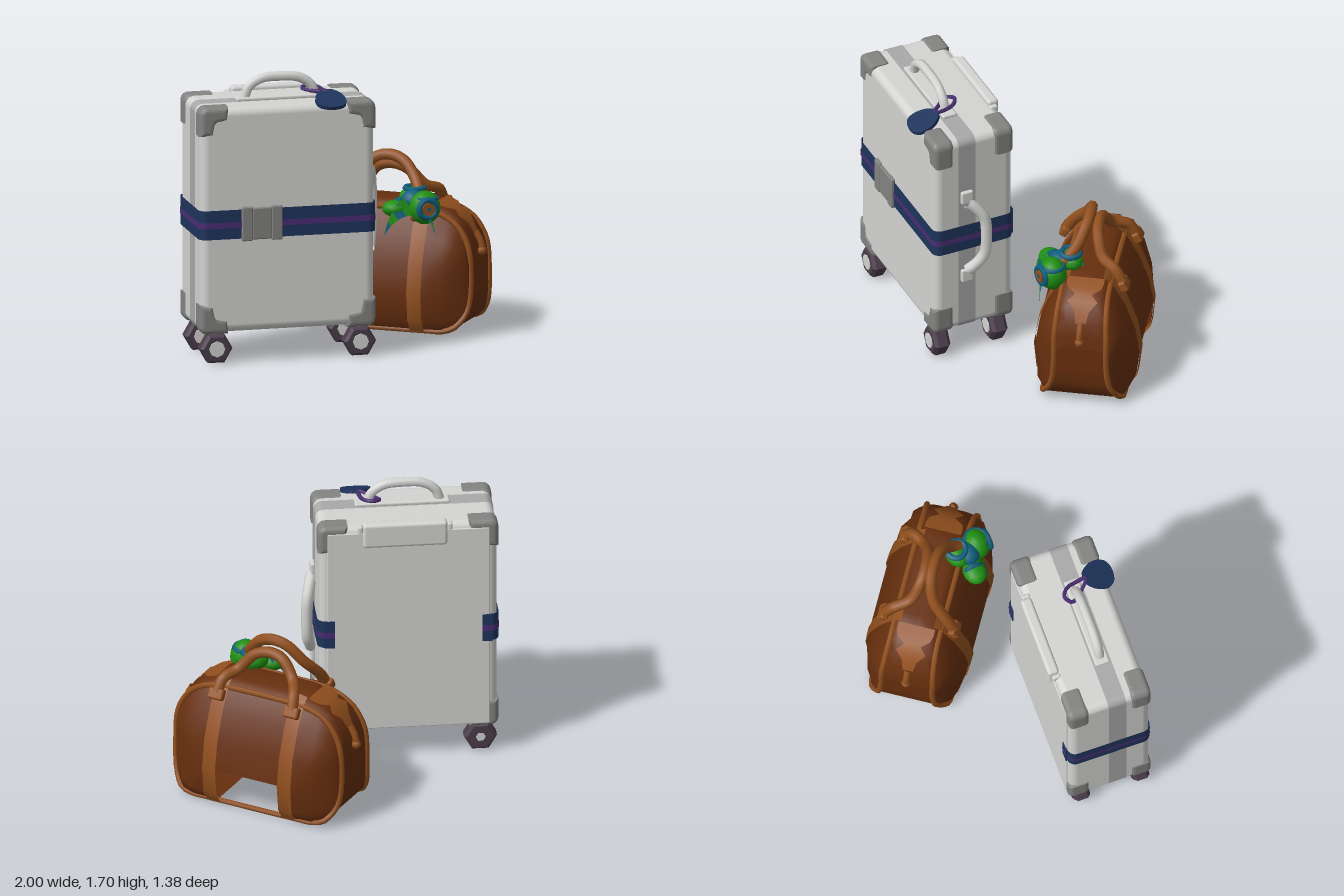
import * as THREE from 'three';
import { RoundedBoxGeometry } from 'three/addons/geometries/RoundedBoxGeometry.js';

const mat = (name, color, side = THREE.FrontSide) => {
  const m = new THREE.MeshStandardMaterial({ color, side });
  m.name = name;
  return m;
};
const D = THREE.DoubleSide;
const M = {
  shell: mat('lightGrey', 0xd4d4d2, D), band: mat('midGrey', 0xa9a9a9, D), guard: mat('darkGrey', 0x838381),
  wheel: mat('wheelPlum', 0x4b3d4b), navy: mat('navy', 0x1f345c, D), purple: mat('purple', 0x4a2d74, D),
  leather: mat('leatherBrown', 0x672f0e, D), trim: mat('trimTan', 0x92501e, D),
  green: mat('scarfGreen', 0x1f8f12, D), teal: mat('scarfTeal', 0x10607e, D),
};

function add(parent, name, geo, material, x = 0, y = 0, z = 0) {
  const m = new THREE.Mesh(geo, material);
  m.name = name;
  m.position.set(x, y, z);
  parent.add(m);
  return m;
}
const V = (p) => new THREE.Vector3(...p);
const tube = (pts, r, closed = false, sides = 8, seg = 40) =>
  new THREE.TubeGeometry(new THREE.CatmullRomCurve3(pts.map(V), closed), seg, r, sides, closed);
const rbox = (w, h, d, r = 0.02) => new RoundedBoxGeometry(w, h, d, 3, r);

// Drops the triangles whose centre passes the test
function without(geo, test) {
  const g = geo.index ? geo.toNonIndexed() : geo, p = g.attributes.position, keep = [];
  for (let i = 0; i < p.count; i += 3) {
    const c = new THREE.Vector3();
    for (let k = 0; k < 3; k++) c.add(new THREE.Vector3().fromBufferAttribute(p, i + k));
    if (!test(c.divideScalar(3))) keep.push(i, i + 1, i + 2);
  }
  g.clearGroups();
  g.setIndex(keep);
  return g;
}

// Open sleeve: a rounded rectangle wall of the given depth along z
function sleeve(w, h, depth, r) {
  const s = new THREE.Shape(), a = w / 2, b = h / 2;
  s.moveTo(-a + r, -b).lineTo(a - r, -b).absarc(a - r, -b + r, r, -Math.PI / 2, 0);
  s.absarc(a - r, b - r, r, 0, Math.PI / 2).absarc(-a + r, b - r, r, Math.PI / 2, Math.PI);
  s.absarc(-a + r, -b + r, r, Math.PI, Math.PI * 1.5);
  const g = new THREE.ExtrudeGeometry(s, { depth, bevelEnabled: false, curveSegments: 6 }).translate(0, 0, -depth / 2);
  return without(g, (c) => Math.abs(c.z) > depth * 0.45);
}

// Grid surface from a point rule; skip(i, j) leaves a hole
function grid(nu, nv, point, skip = () => false) {
  const pos = [], idx = [];
  for (let i = 0; i <= nu; i++) for (let j = 0; j <= nv; j++) pos.push(...point(i, j));
  for (let i = 0; i < nu; i++) for (let j = 0; j < nv; j++) {
    if (skip(i, j)) continue;
    const a = i * (nv + 1) + j, b = a + nv + 1;
    idx.push(a, a + 1, b, b, a + 1, b + 1);
  }
  const g = new THREE.BufferGeometry();
  g.setAttribute('position', new THREE.Float32BufferAttribute(pos, 3));
  g.setIndex(idx);
  g.computeVertexNormals();
  return g;
}

// L-shaped corner guard with its outer corner at the origin
function guardGeometry() {
  const b = 0.03, s = new THREE.Shape();
  s.moveTo(-0.145, -b).lineTo(-0.145, -0.06).lineTo(-0.12, -0.065).quadraticCurveTo(-0.07, -0.07, -0.065, -0.12);
  s.lineTo(-0.06, -0.145).lineTo(-b, -0.145).lineTo(-b, -0.05).quadraticCurveTo(-b, -b, -0.05, -b);
  return new THREE.ExtrudeGeometry(s, { depth: 0.07, bevelSize: b, bevelThickness: b, bevelSegments: 4 }).translate(0, 0, -0.035);
}

function suitcase() {
  const g = new THREE.Group();
  g.name = 'suitcase';
  // Shell, open underneath
  add(g, 'caseShell', without(rbox(1.05, 1.35, 0.5, 0.05), (c) => c.y < -0.67), M.shell, 0, 0.855, 0);
  add(g, 'centreBand', without(sleeve(1.056, 1.356, 0.11, 0.05), (c) => c.y < -0.67), M.band, 0, 0.855, 0.045);
  add(g, 'backPanel', rbox(0.96, 1.3, 0.014, 0.006), M.shell, 0, 0.845, -0.253);

  // Corner guards, turned to each corner
  const corner = guardGeometry();
  [[1, 1], [-1, 1], [-1, -1], [1, -1]].forEach(([sx, sy], k) => {
    for (const sz of [-1, 1])
      add(g, 'cornerGuard', corner, M.guard, sx * 0.533, 0.855 + sy * 0.682, sz * 0.192).rotation.z = k * Math.PI / 2;
  });

  // Luggage belt, its ends on the back, and the buckle
  add(g, 'belt', sleeve(1.07, 0.512, 0.175, 0.05).rotateX(Math.PI / 2), M.navy, 0, 0.832, 0);
  add(g, 'beltStripe', sleeve(1.076, 0.518, 0.036, 0.05).rotateX(Math.PI / 2), M.purple, 0, 0.829, 0);
  for (const s of [-1, 1]) {
    add(g, 'beltEnd', new THREE.BoxGeometry(0.06, 0.175, 0.008), M.navy, s * 0.465, 0.832, -0.262);
    add(g, 'beltEndStripe', new THREE.BoxGeometry(0.06, 0.036, 0.004), M.purple, s * 0.465, 0.829, -0.266);
    add(g, 'buckleEnd', rbox(0.065, 0.205, 0.03, 0.008), M.guard, -0.16 + s * 0.09, 0.832, 0.258);
  }
  add(g, 'buckleCentre', rbox(0.12, 0.19, 0.024, 0.008), M.guard, -0.16, 0.832, 0.258);

  // Top handle
  add(g, 'handlePlate', rbox(0.56, 0.024, 0.09, 0.01), M.shell, 0.01, 1.54, 0.045);
  add(g, 'topHandle', tube([[-0.215, 1.54, 0.045], [-0.185, 1.61, 0.045], [-0.11, 1.655, 0.045], [0, 1.663, 0.045],
    [0.12, 1.65, 0.045], [0.19, 1.6, 0.045], [0.215, 1.54, 0.045]], 0.029), M.shell);

  // Folded side handle
  for (const y of [0.56, 1.12]) add(g, 'sideHandleMount', rbox(0.03, 0.085, 0.075, 0.01), M.shell, 0.535, y, 0.05);
  add(g, 'sideHandle', tube([[0.54, 0.6, 0.05], [0.555, 0.63, 0.01], [0.575, 0.71, -0.045], [0.58, 0.84, -0.055],
    [0.575, 0.97, -0.045], [0.555, 1.05, 0.01], [0.54, 1.08, 0.05]], 0.034), M.shell);

  // Pull handle grip on the back
  add(g, 'pullGrip', rbox(0.5, 0.155, 0.07, 0.02), M.shell, 0.02, 1.478, -0.245);
  for (const s of [-1, 1]) add(g, 'pullMount', rbox(0.03, 0.09, 0.05, 0.01), M.shell, 0.02 + s * 0.265, 1.49, -0.235);

  // Six-sided wheels with a hub cap on the front
  for (const x of [-0.43, 0.44]) for (const z of [-0.17, 0.2]) {
    const w = new THREE.Group();
    w.name = 'wheel';
    w.position.set(x, 0.085, z);
    g.add(w);
    const prof = [[0.03, -0.05], [0.08, -0.05], [0.098, -0.03], [0.098, 0.03], [0.08, 0.05], [0.03, 0.05]];
    const tyre = new THREE.LatheGeometry(prof.map((p) => new THREE.Vector2(...p)), 6).toNonIndexed();
    tyre.computeVertexNormals();
    add(w, 'tyre', tyre.rotateX(Math.PI / 2).rotateZ(Math.PI / 2), M.wheel);
    add(w, 'hubCap', new THREE.CylinderGeometry(0.048, 0.052, 0.06, 8).rotateX(Math.PI / 2), M.shell, 0, 0, 0.026);
    add(w, 'wheelStem', new THREE.CylinderGeometry(0.035, 0.03, 0.07, 8), M.guard, 0, 0.09, 0);
  }

  // Hanging tag with a cord
  const tag = new THREE.Shape();
  tag.moveTo(-0.03, -0.1).bezierCurveTo(-0.09, -0.06, -0.11, 0.03, -0.07, 0.07)
    .bezierCurveTo(-0.03, 0.1, 0.05, 0.1, 0.08, 0.06).bezierCurveTo(0.11, 0, 0.08, -0.07, 0.03, -0.1);
  const t = add(g, 'luggageTag', new THREE.ExtrudeGeometry(tag, { depth: 0.022, bevelEnabled: false }), M.navy, 0.265, 1.55, 0.215);
  t.rotation.x = Math.PI / 2 + 0.36;
  add(g, 'tagCord', tube([[0.26, 1.575, 0.13], [0.19, 1.57, 0.07], [0.145, 1.575, 0.005], [0.185, 1.585, -0.03],
    [0.235, 1.58, 0.0], [0.255, 1.572, 0.06]], 0.012, true, 6), M.purple);
  return g;
}

// Bag section (half width, height fraction); along the length: width limit, top, base
const HALF = [[0, 1], [0.09, 1], [0.14, 0.95], [0.22, 0.77], [0.28, 0.55], [0.31, 0.32], [0.29, 0.1], [0.24, 0], [0, 0]];
const LENGTH = [[0, 0.31, 0.755, 0], [0.24, 0.31, 0.755, 0], [0.3, 0.305, 0.745, 0], [0.4, 0.275, 0.71, 0.006],
  [0.47, 0.235, 0.655, 0.03], [0.52, 0.195, 0.57, 0.085], [0.543, 0.17, 0.49, 0.15], [0.552, 0.155, 0.41, 0.24]];
const END = 0.552;
function station(u) {
  const a = Math.min(Math.abs(u), END);
  let k = 1;
  while (k < LENGTH.length - 1 && LENGTH[k][0] < a) k++;
  const p = LENGTH[k - 1], q = LENGTH[k], f = (a - p[0]) / (q[0] - p[0]);
  return [1, 2, 3].map((i) => p[i] + (q[i] - p[i]) * f);
}
function bagPoint(u, v, h, off = 0) {
  const [limit, top, base] = station(u);
  return [u, base + (top - base) * h + (h > 0.9 ? off : 0), Math.sign(v) * (Math.min(Math.abs(v), limit) + off)];
}

function bag() {
  const g = new THREE.Group();
  g.name = 'travelBag';
  const us = [...LENGTH.slice(1).map((l) => -l[0]).reverse(), ...LENGTH.map((l) => l[0])];
  const ring = [...HALF, ...HALF.slice(1, -1).reverse().map(([v, h]) => [-v, h]), HALF[0]];
  const n = ring.length - 1;
  // Leather shell, open at the lower middle of the back and base
  add(g, 'leatherShell', grid(us.length - 1, n, (i, j) => bagPoint(us[i], ...ring[j]),
    (i, j) => Math.abs(us[i] + us[i + 1]) / 2 < 0.24 && j >= 7 && j <= 10), M.leather);
  for (const s of [-1, 1]) {
    add(g, 'endPanel', grid(1, n, (i, j) => (i ? bagPoint(s * END, ...ring[j]) : [s * END, 0.32, 0])), M.leather);

    // Piping loop following the shell round each long side
    const half = [[0.08, 0.14, 0.95], [0.3, 0.14, 0.95], [0.4, 0.14, 0.95], [0.47, 0.145, 0.95], [0.52, 0.15, 0.95],
      [0.543, 0.155, 0.95], [END, 0.31, 0.45], [0.543, 0.31, 0.03], [0.52, 0.25, 0.02], [0.47, 0.24, 0.01],
      [0.4, 0.24, 0.01], [0.3, 0.24, 0.015]];
    const loop = [1, -1].flatMap((e) => {
      const pts = half.map(([u, v, h]) => bagPoint(e * u, s * v, h));
      return e > 0 ? pts : pts.reverse();
    });
    add(g, 'piping', tube(loop, 0.017, true, 6, 80), M.trim);

    // Straps climbing both sides
    for (const c of [-0.25, 0.25])
      add(g, 'strap', grid(2, 6, (i, j) => {
        const [v, h] = HALF[j + 1];
        return bagPoint(c + (i - 1) * 0.044, s * v, h, 0.009);
      }), M.trim);

    // Scalloped trim over each end, with a hanging tab
    const w = [0.11, 0.11, 0.1, 0.05, 0.09, 0.045, 0.03];
    add(g, 'endTrim', grid(6, 2, (i, j) => {
      const u = 0.3 + i * 0.037, v = (j - 1) * w[i];
      const p = bagPoint(s * u, v, 1, 0.009);
      return [p[0] + s * 0.006, p[1], v];
    }), M.trim);
    add(g, 'endTab', tube([[s * 0.525, 0.58, 0], [s * 0.557, 0.52, 0], [s * 0.568, 0.47, 0]], 0.02, false, 8, 8), M.trim);
    add(g, 'tabEnd', new THREE.SphereGeometry(0.028, 10, 8), M.trim, s * 0.566, 0.465, 0);
  }

  // Two leaning carry handles
  const handle = (s, peak) => [[-0.25, 0.7, s * 0.21], [-0.235, 0.78, s * 0.16], [-0.18, peak - 0.12, s * 0.07],
    [-0.09, peak - 0.02, s * 0.03], [0, peak, s * 0.025], [0.09, peak - 0.03, s * 0.035],
    [0.18, peak - 0.13, s * 0.08], [0.235, 0.78, s * 0.16], [0.25, 0.7, s * 0.21]];
  for (const [s, peak] of [[1, 1.006], [-1, 0.945]]) {
    add(g, 'carryHandle', tube(handle(s, peak), 0.034), M.trim);
    for (const c of [-0.25, 0.25])
      add(g, 'handleLoop', rbox(0.1, 0.07, 0.05, 0.015), M.trim, c, 0.695, s * 0.215).rotation.x = s * -0.5;
  }
  return g;
}

// Scarf knotted on a handle: patterned loops and pointed tails
function scarf() {
  const g = new THREE.Group();
  g.name = 'scarf';
  const blob = (name, m, p, s) => add(g, name, new THREE.SphereGeometry(1, 14, 10), m, ...p).scale.set(...s);
  blob('knot', M.teal, [0.5, 0.775, 0.065], [0.075, 0.065, 0.07]);
  blob('frontLoop', M.green, [0.545, 0.745, 0.14], [0.095, 0.1, 0.085]);
  blob('backLoop', M.green, [0.525, 0.785, 0.005], [0.09, 0.06, 0.07]);
  blob('sideLoop', M.green, [0.395, 0.735, 0.06], [0.085, 0.05, 0.07]);
  const ring = (r, t, p, rx, ry = 0) => add(g, 'scarfRing', new THREE.TorusGeometry(r, t, 6, 20), M.teal, ...p).rotation.set(rx, ry, 0);
  ring(0.052, 0.019, [0.54, 0.75, 0.208], 0);
  ring(0.055, 0.018, [0.53, 0.835, 0.005], Math.PI / 2);
  ring(0.062, 0.016, [0.55, 0.8, 0.14], Math.PI / 2);
  ring(0.052, 0.014, [0.41, 0.735, 0.06], 0, Math.PI / 2);
  add(g, 'scarfDot', new THREE.CylinderGeometry(0.038, 0.038, 0.008, 14).rotateX(Math.PI / 2), M.trim, 0.54, 0.75, 0.226);
  add(g, 'scarfDotCentre', new THREE.CylinderGeometry(0.012, 0.012, 0.008, 10).rotateX(Math.PI / 2), M.teal, 0.54, 0.75, 0.229);
  // Tapering tails in alternating bands
  const tail = (a, b, c, w) => {
    const curve = new THREE.QuadraticBezierCurve3(V(a), V(b), V(c));
    for (let k = 0; k < 4; k++)
      add(g, 'tailBand', grid(3, 1, (i, j) => {
        const t = (k + i / 3) / 4, p = curve.getPoint(t), d = (j ? 1 : -1) * w * (1.02 - t);
        return [p.x + d * 0.5, p.y - d * 0.8, p.z + d * 0.3];
      }), k % 2 ? M.teal : M.green);
  };
  tail([0.46, 0.75, 0.12], [0.35, 0.74, 0.14], [0.305, 0.59, 0.11], 0.06);
  tail([0.53, 0.74, 0.19], [0.55, 0.68, 0.235], [0.575, 0.6, 0.245], 0.06);
  tail([0.53, 0.8, 0.03], [0.56, 0.8, -0.04], [0.6, 0.73, -0.065], 0.06);
  return g;
}

export function createModel() {
  const model = new THREE.Group();
  model.name = 'luggageSet';
  const c = suitcase();
  c.position.set(-0.445, 0, 0.35);
  c.rotation.y = -0.095;
  const b = bag();
  b.position.set(0.46, 0, -0.2);
  b.rotation.y = -0.69;
  model.add(c, b, scarf());
  return model;
}
